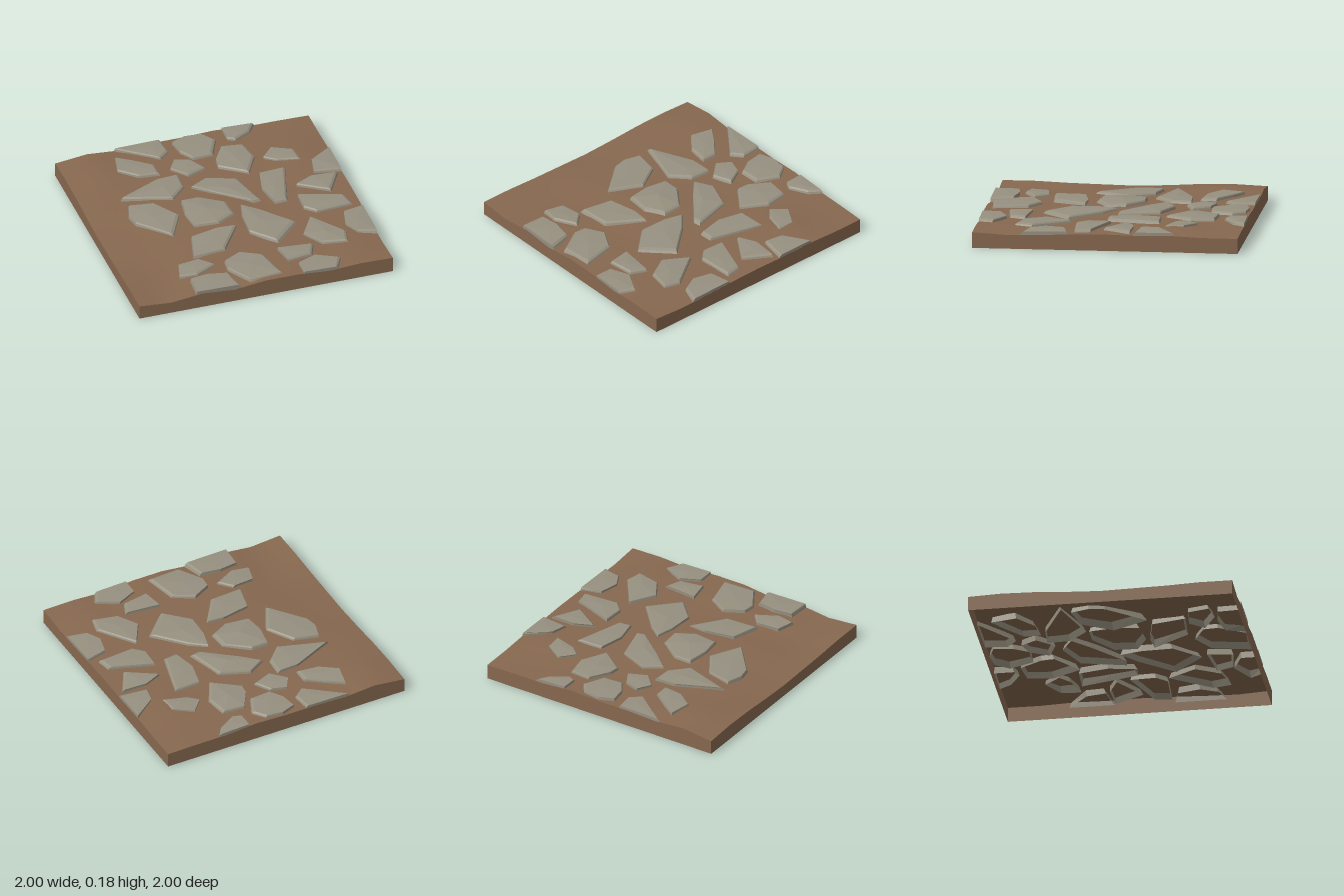
import * as THREE from 'three';

// Ground heights on a 9 x 9 grid: one row per z from -1 to 1, x from -1 to 1
const HEIGHTS = [
  [.11, .14, .12, .13, .13, .14, .12, .12, .115],
  [.12, .15, .135, .125, .13, .125, .12, .125, .115],
  [.115, .13, .125, .13, .12, .125, .13, .15, .125],
  [.10, .115, .13, .13, .13, .13, .125, .13, .12],
  [.09, .105, .13, .14, .145, .125, .12, .125, .125],
  [.095, .11, .13, .135, .14, .125, .12, .125, .12],
  [.10, .09, .11, .125, .12, .12, .12, .125, .11],
  [.11, .09, .12, .12, .13, .125, .12, .13, .105],
  [.11, .09, .12, .10, .13, .13, .11, .125, .12],
];

function groundHeight(x, z) {
  const u = THREE.MathUtils.clamp((x + 1) * 4, 0, 8), v = THREE.MathUtils.clamp((z + 1) * 4, 0, 8);
  const i = Math.min(7, Math.floor(u)), j = Math.min(7, Math.floor(v));
  const lerp = THREE.MathUtils.lerp;
  return lerp(lerp(HEIGHTS[j][i], HEIGHTS[j][i + 1], u - i), lerp(HEIGHTS[j + 1][i], HEIGHTS[j + 1][i + 1], u - i), v - j);
}

const earth = new THREE.MeshStandardMaterial({ color: 0x87684f, side: THREE.DoubleSide });
const rock = new THREE.MeshStandardMaterial({ color: 0x969080, side: THREE.DoubleSide, flatShading: true });

function buildGround() {
  const group = new THREE.Group();
  group.name = 'ground';
  const N = 16;
  // Uneven top surface
  const top = new THREE.PlaneGeometry(2, 2, N, N).rotateX(-Math.PI / 2);
  const p = top.attributes.position;
  for (let i = 0; i < p.count; i++) p.setY(i, groundHeight(p.getX(i), p.getZ(i)));
  top.computeVertexNormals();
  const surface = new THREE.Mesh(top, earth);
  surface.name = 'groundSurface';
  group.add(surface);
  // Four thin sides, open underneath
  for (let k = 0; k < 4; k++) {
    const side = new THREE.PlaneGeometry(2, 1, N, 1).translate(0, .5, 1).rotateY(k * Math.PI / 2);
    const q = side.attributes.position;
    for (let i = 0; i < q.count; i++) {
      if (q.getY(i) > .5) q.setY(i, groundHeight(q.getX(i), q.getZ(i)));
    }
    const wall = new THREE.Mesh(side, earth);
    wall.name = 'groundSide';
    group.add(wall);
  }
  return group;
}

// Faceted slab: flared buried skirt, bevel and a slightly domed top, open below.
// Outlines run clockwise as seen from above; points on the tile edge stay just inside it.
function buildStone(outline, dome = .004, lift = .022) {
  const n = outline.length;
  const cx = outline.reduce((s, o) => s + o[0], 0) / n;
  const cz = outline.reduce((s, o) => s + o[1], 0) / n;
  const mid = groundHeight(cx, cz);
  const place = (v, c, scale, shift) => Math.abs(v) === 1 ? v * .999
    : THREE.MathUtils.clamp(c + (v - c) * scale + shift, -.999, .999);
  const ring = (scale, shift, height) => outline.map(([x, z]) => {
    const px = place(x, cx, scale, shift), pz = place(z, cz, scale, shift);
    return [px, height(groundHeight(px, pz)), pz];
  });
  const rings = [
    ring(1.09, .006, () => mid - .045),
    ring(.96, -.003, h => h * .6 + mid * .4 + lift * .6),
    ring(.9, -.009, h => h * .6 + mid * .4 + lift),
  ];
  const pos = [];
  const centreY = rings[2].reduce((s, r) => s + r[1], 0) / n;
  const centre = [cx, Math.max(centreY, mid + lift) + dome, cz];
  for (let i = 0; i < n; i++) {
    const j = (i + 1) % n;
    for (let r = 0; r < 2; r++) {
      const a = rings[r][i], b = rings[r][j], c = rings[r + 1][j], d = rings[r + 1][i];
      pos.push(...a, ...c, ...b, ...a, ...d, ...c);
    }
    pos.push(...centre, ...rings[2][j], ...rings[2][i]);
  }
  const geo = new THREE.BufferGeometry();
  geo.setAttribute('position', new THREE.Float32BufferAttribute(pos, 3));
  geo.computeVertexNormals();
  const mesh = new THREE.Mesh(geo, rock);
  mesh.name = 'stone';
  return mesh;
}

export function createModel() {
  const model = new THREE.Group();
  model.name = 'stonePathTile';
  model.add(buildGround());

  const stones = new THREE.Group();
  stones.name = 'stones';
  const stone = (...args) => stones.add(buildStone(...args));

  // Back rows
  stone([[-.54, -1], [-.17, -1], [-.155, -.84], [-.24, -.77]]);
  stone([[-.1, -.94], [.02, -.985], [.16, -.97], [.23, -.87], [.15, -.7], [-.01, -.69], [-.08, -.8]]);
  stone([[.31, -1], [.57, -1], [.51, -.91], [.37, -.83], [.31, -.86]]);
  stone([[-.57, -.88], [-.45, -.8], [-.31, -.69], [-.31, -.57], [-.47, -.59], [-.61, -.7]]);
  stone([[-.15, -.72], [-.03, -.68], [.04, -.55], [-.11, -.49], [-.22, -.61]]);
  stone([[.24, -.78], [.41, -.76], [.44, -.58], [.33, -.38], [.13, -.53], [.14, -.62]], .01);
  stone([[.59, -.65], [.74, -.56], [.75, -.42], [.57, -.47], [.49, -.54]], .003, .014);

  // Middle rows
  stone([[-.35, -.51], [-.18, -.52], [-.19, -.36], [-.32, -.23], [-.7, -.35]], .008);
  stone([[-.01, -.42], [.22, -.33], [.3, -.02], [.24, -.01], [-.02, -.22], [-.15, -.34]], .008);
  stone([[.4, -.36], [.61, -.37], [.49, .04], [.39, .05], [.35, -.15]]);
  stone([[1, -.52], [1, -.21], [.79, -.24], [.82, -.38]]);
  stone([[.76, -.19], [.96, -.18], [.84, .03], [.61, -.12]]);
  stone([[-.67, -.26], [-.47, -.22], [-.34, -.01], [-.47, .24], [-.69, -.02], [-.71, -.13]]);
  stone([[-.28, -.18], [-.14, -.18], [.04, -.05], [.05, .11], [-.1, .19], [-.29, .17], [-.31, 0]], .014);
  stone([[.13, 0], [.25, .1], [.46, .34], [.25, .55], [.08, .37], [.09, .15]], .008);
  stone([[.58, 0], [.92, .12], [.94, .24], [.65, .26], [.57, .18]]);

  // Front rows
  stone([[1, .28], [1, .64], [.86, .6], [.8, .48], [.84, .32]]);
  stone([[.58, .3], [.78, .58], [.75, .71], [.56, .67], [.46, .5]], .008);
  stone([[-.36, .3], [-.12, .25], [.02, .26], [-.16, .52], [-.42, .54]]);
  stone([[-.56, .6], [-.38, .58], [-.29, .68], [-.46, .77], [-.6, .75]]);
  stone([[-.07, .59], [.09, .68], [.15, .95], [-.11, .97], [-.23, .77], [-.22, .67]]);
  stone([[.21, .63], [.49, .66], [.44, .78], [.24, .81]]);
  stone([[-.55, 1], [-.54, .82], [-.39, .8], [-.23, .83], [-.19, 1]], .004, .03);
  stone([[.3, 1], [.3, .87], [.46, .8], [.63, .89], [.57, 1]]);

  model.add(stones);
  return model;
}
